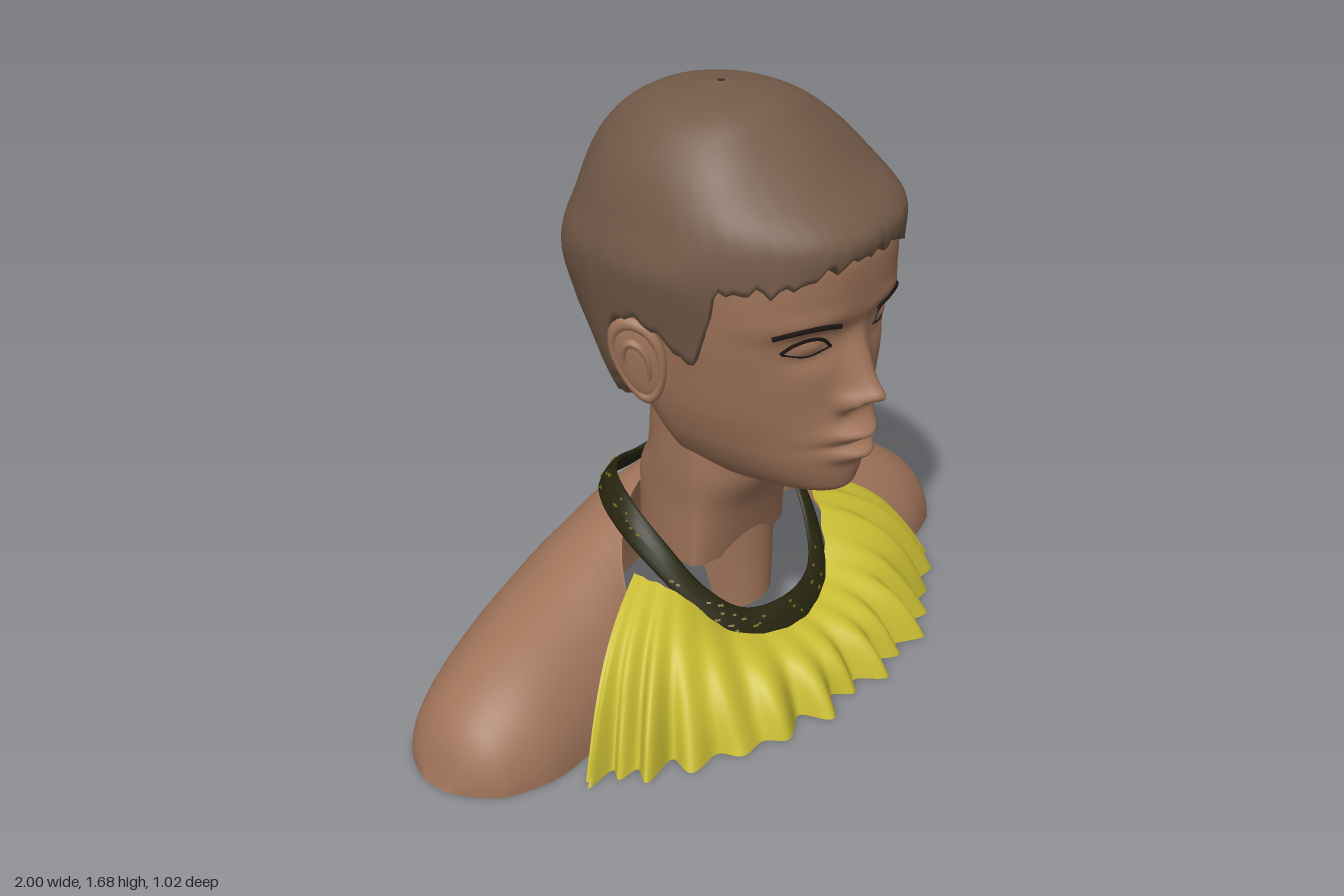
import * as THREE from 'three';

const mat = (name, color, side = THREE.DoubleSide) => {
  const m = new THREE.MeshStandardMaterial({ color, side });
  m.name = name;
  return m;
};
const skin = mat('skin', 0xa0745a);
const hairMat = mat('hair brown', 0x745b49);
const cloth = mat('yellow cloth', 0xc9bc33);
const band = mat('dark band', 0x27250f);
const speck = mat('olive speck', 0x726a1c);
const dark = mat('lash black', 0x1c1512);

const { sin, cos, abs, PI, pow, sign, exp, min, max } = Math;
const V = (x, y, z) => new THREE.Vector3(x, y, z);
const bell = (d, w) => exp(-(d * d) / (w * w));

// Smooth monotone interpolation of table rows [key, ...values]
function sample(table, key) {
  const k = min(max(key, table[0][0]), table[table.length - 1][0]);
  let i = 0;
  while (i < table.length - 2 && k > table[i + 1][0]) i++;
  const slope = (j, c) => (table[j + 1][c] - table[j][c]) / (table[j + 1][0] - table[j][0]);
  const tangent = (j, c) => {
    if (j === 0) return slope(0, c);
    if (j === table.length - 1) return slope(j - 1, c);
    const a = slope(j - 1, c), b = slope(j, c);
    return a * b > 0 ? (2 * a * b) / (a + b) : 0;
  };
  const h = table[i + 1][0] - table[i][0], t = (k - table[i][0]) / h;
  return table[i].slice(1).map((p, n) => {
    const c = n + 1, q = table[i + 1][c];
    return p * (1 + 2 * t) * (1 - t) ** 2 + q * t * t * (3 - 2 * t)
      + h * (tangent(i, c) * t * (1 - t) ** 2 + tangent(i + 1, c) * t * t * (t - 1));
  });
}

// Grid surface from a rule f(u, v); closed joins the u ends
function surface(f, nu, nv, closed) {
  const pos = [], idx = [], cols = closed ? nu : nu + 1;
  for (let j = 0; j <= nv; j++)
    for (let i = 0; i < cols; i++) pos.push(...f(i / nu, j / nv).toArray());
  for (let j = 0; j < nv; j++)
    for (let i = 0; i < nu; i++) {
      const a = j * cols + i, b = j * cols + ((i + 1) % cols);
      idx.push(a, b, b + cols, a, b + cols, a + cols);
    }
  const g = new THREE.BufferGeometry();
  g.setAttribute('position', new THREE.Float32BufferAttribute(pos, 3));
  g.setIndex(idx);
  g.computeVertexNormals();
  return g;
}

const CZ = 0.02; // depth of the widest line of the head
function section([zf, zb, hw, n], a, y) {
  const c = cos(a), s = sin(a);
  const x = hw * sign(s) * pow(abs(s), 2 / n);
  return V(x, y, CZ + (c > 0 ? zf - CZ : CZ - zb) * sign(c) * pow(abs(c), 2 / n));
}

// Rows: y, front z, back z, half width, roundness
const HEAD = [
  [0.63, 0.15, -0.02, 0.05, 2], [0.64, 0.37, -0.06, 0.12, 2], [0.67, 0.405, -0.1, 0.165, 2],
  [0.73, 0.415, -0.12, 0.215, 2], [0.8, 0.408, -0.16, 0.255, 2], [0.9, 0.41, -0.25, 0.29, 2.1],
  [1.0, 0.415, -0.33, 0.31, 2.2], [1.1, 0.415, -0.36, 0.325, 2.4], [1.17, 0.43, -0.37, 0.33, 2.5],
  [1.3, 0.44, -0.37, 0.34, 2.4], [1.45, 0.35, -0.32, 0.28, 2.2], [1.55, 0.2, -0.2, 0.15, 2]];
const NECK = [
  [0.34, 0.06, -0.3, 0.19, 2], [0.5, 0.1, -0.3, 0.19, 2], [0.63, 0.16, -0.25, 0.2, 2],
  [0.77, 0.17, -0.24, 0.2, 2], [1.0, 0.15, -0.24, 0.2, 2]];
const HAIR = [
  [0.76, 0.4, -0.28, 0.22, 2.1], [0.85, 0.4, -0.325, 0.29, 2.1], [0.97, 0.42, -0.375, 0.335, 2.1],
  [1.1, 0.44, -0.415, 0.36, 2.2], [1.22, 0.455, -0.43, 0.39, 2.2], [1.3, 0.465, -0.42, 0.405, 2.1],
  [1.38, 0.485, -0.395, 0.39, 2], [1.5, 0.365, -0.335, 0.335, 2], [1.6, 0.26, -0.25, 0.25, 2],
  [1.66, 0.18, -0.14, 0.15, 2], [1.685, 0.03, 0.01, 0.01, 2]];
// Hair hem: angle from the front in degrees, y
const HEM = [[0, 1.345], [20, 1.33], [35, 1.29], [57, 1.28], [63, 1.2], [70, 1.06], [80, 1.1],
  [87, 1.15], [101, 1.12], [107, 0.98], [122, 0.85], [150, 0.79], [180, 0.76]];
// Shoulders: |x|, back z, top y, ridge z, front z, front sweep in half turns
const SHOULDER = [
  [0, -0.45, 0.5, -0.27, -0.1, 0.52], [0.15, -0.49, 0.48, -0.25, -0.05, 0.54],
  [0.3, -0.51, 0.435, -0.2, 0.02, 0.6], [0.5, -0.475, 0.36, -0.2, 0.06, 0.95],
  [0.75, -0.4, 0.275, -0.17, 0.08, 1], [0.9, -0.33, 0.19, -0.15, 0.04, 1],
  [0.96, -0.27, 0.12, -0.14, -0.02, 1], [1, -0.18, 0, -0.14, -0.1, 1]];

// Nose, lips, sockets and lids raised from the plain face
function relief(x, y) {
  const ax = abs(x);
  const down = min(max((1.13 - y) / 0.18, 0), 1);
  const ridge = y < 0.95 ? bell(y - 0.95, 0.032) : 1;
  return 0.075 * down * ridge * bell(x, 0.03 + 0.02 * down)
    + 0.022 * bell(x, 0.03) * bell(y - 0.945, 0.03)
    + 0.035 * bell(ax - 0.05, 0.022) * bell(y - 0.925, 0.025)
    + 0.025 * bell(x, 0.13) * bell(y - 0.82, 0.07)
    + 0.042 * bell(x, 0.075) * bell(y - 0.835, 0.02)
    + 0.04 * bell(x, 0.07) * bell(y - 0.775, 0.022)
    - 0.012 * bell(x, 0.09) * bell(y - 0.803, 0.009)
    - 0.035 * bell(ax - 0.14, 0.075) * bell(y - 1.1, 0.05)
    + 0.03 * bell(ax - 0.145, 0.05) * bell(y - 1.1, 0.026)
    + 0.01 * bell(ax - 0.15, 0.09) * bell(y - 1.17, 0.03);
}
function faceZ(x, y) {
  const [zf, , hw, n] = sample(HEAD, y);
  return CZ + (zf - CZ) * pow(1 - pow(abs(x) / hw, n), 1 / n) + relief(x, y);
}

export function createModel() {
  const model = new THREE.Group();
  const add = (name, geometry, material, parent = model) => {
    const m = new THREE.Mesh(geometry, material);
    m.name = name;
    parent.add(m);
    return m;
  };

  add('head', surface((u, v) => {
    const y = 0.63 + 0.92 * pow(v, 1.25), a = u * 2 * PI;
    const p = section(sample(HEAD, y), a, y);
    if (cos(a) > 0) p.z += relief(p.x, y) * min(1, cos(a) * 3);
    return p;
  }, 128, 100, true), skin);

  add('neck', surface((u, v) => {
    const y = 0.34 + 0.66 * v;
    return section(sample(NECK, y), u * 2 * PI, y);
  }, 48, 24, true), skin);

  add('throat', surface((u, v) => {
    const s = u * 2 - 1;
    return V(s * (0.115 + 0.05 * v), 0.17 + 0.24 * v, 0.1 - 0.03 * v - 0.05 * s * s);
  }, 10, 6), skin);

  add('shoulders', surface((u, v) => {
    const x = sin((u - 0.5) * PI);
    const [zb, top, zt, zf, sweep] = sample(SHOULDER, abs(x));
    const a = (1 - v) * sweep * PI, c = cos(a);
    return V(x, max(0, top * sin(a)), zt + (c > 0 ? zb - zt : zt - zf) * c);
  }, 72, 28), skin);

  // Cropped hair with a tucked-in ragged hem
  add('hair', surface((u, v) => {
    const a = u * 2 * PI, deg = 180 - abs(u * 360 - 180);
    const hem = sample(HEM, deg)[0] + 0.01 * sin(47 * a) + 0.008 * sin(31 * a + 1);
    const w = max(0, (v * 40 - 1) / 39);
    const y = hem + (1.685 - hem) * sin(w * PI / 2);
    const p = section(sample(HAIR, y), a, y);
    const k = (v === 0 ? 0.84 : 1) * (1 + 0.012 * sin(3 * a + 7 * y) + 0.008 * sin(7 * a - 11 * y));
    const lean = -0.012 - 0.05 * max(0, y - 1.4) / 0.285;
    return V(p.x * k + lean, y, CZ + (p.z - CZ) * k);
  }, 144, 40, true), hairMat);

  // Ears, brows and lash lines, mirrored
  const line = (points, r) => new THREE.TubeGeometry(
    new THREE.CatmullRomCurve3(points.map(([x, y]) => V(x, y, faceZ(x, y) + 0.002))), 20, r, 5);
  for (const side of [1, -1]) {
    const ear = new THREE.Group();
    ear.name = side > 0 ? 'leftEar' : 'rightEar';
    const bowl = new THREE.SphereGeometry(1, 24, 16).scale(0.02, 0.115, 0.066);
    const rim = new THREE.TorusGeometry(1, 0.17, 8, 32).rotateY(PI / 2).scale(0.09, 0.108, 0.062);
    const fold = new THREE.TorusGeometry(1, 0.2, 6, 20, PI * 1.2).rotateY(PI / 2).scale(0.07, 0.06, 0.032);
    for (const g of [bowl, rim, fold]) {
      const p = g.attributes.position;
      for (let i = 0; i < p.count; i++) // narrow toward the lobe
        p.setZ(i, p.getZ(i) * (1 + 2 * min(0.1, p.getY(i))) + p.getY(i) * -0.15);
      g.computeVertexNormals();
    }
    add('earBowl', bowl, skin, ear);
    add('earRim', rim, skin, ear);
    add('earFold', fold, skin, ear).position.x = 0.015;
    ear.rotation.set(0, -0.42 * side, -0.14 * side);
    ear.position.set(0.352 * side, 1.02, 0);
    ear.scale.x = side;
    model.add(ear);

    const face = new THREE.Group();
    face.name = side > 0 ? 'leftBrowAndLashes' : 'rightBrowAndLashes';
    face.scale.x = side;
    add('brow', line([[0.075, 1.148], [0.13, 1.163], [0.19, 1.163], [0.24, 1.145]], 0.007), dark, face);
    add('upperLash', line([[0.085, 1.09], [0.11, 1.115], [0.15, 1.125], [0.19, 1.115], [0.212, 1.095]], 0.005), dark, face);
    add('lowerLash', line([[0.09, 1.088], [0.15, 1.077], [0.208, 1.092]], 0.0025), dark, face);
    model.add(face);
  }

  // Gathered dress front
  const mirrored = pts => new THREE.CatmullRomCurve3(
    [...pts.map(([x, y, z]) => V(-x, y, z)), ...pts.slice(0, -1).reverse().map(p => V(...p))]);
  const neckline = mirrored([[0.35, 0.37, -0.04], [0.3, 0.33, 0.07], [0.2, 0.21, 0.17], [0, 0.17, 0.22]]);
  const hemline = mirrored([[0.73, 0, 0.14], [0.56, 0, 0.27], [0.32, 0, 0.39], [0, 0, 0.42]]);
  add('dress', surface((u, v) => {
    const p = hemline.getPoint(u).lerp(neckline.getPoint(u), v);
    const s = abs(u * 2 - 1), swell = sin(v * PI);
    const out = V(p.x, 0, p.z + 0.1).normalize();
    const fold = 0.026 * sin(u * 92 + 2 * sin(u * 11) + v) + 0.014 * sin(u * 57 + 1 - 2 * v);
    p.addScaledVector(out, fold * (1.1 - v) * (s > 0.97 ? 0.3 : 1) + 0.035 * swell);
    p.y += swell * (0.025 + 0.035 * s);
    return p;
  }, 180, 18), cloth);

  // Neckband lying around the collar
  const half = [[0.15, 0.205, 0.185], [0.235, 0.28, 0.11], [0.285, 0.4, 0], [0.29, 0.475, -0.11],
    [0.235, 0.51, -0.24], [0.12, 0.485, -0.34]];
  const loop = new THREE.CatmullRomCurve3([V(0, 0.19, 0.22), ...half.map(p => V(...p)),
    V(0, 0.455, -0.375), ...half.reverse().map(([x, y, z]) => V(-x, y, z))], true);
  const frame = u => {
    const c = loop.getPoint(u), out = V(c.x, 0, c.z + 0.09).normalize();
    const up = out.clone().multiplyScalar(-0.55).add(V(0, 0.83, 0)).normalize();
    const face = out.clone().multiplyScalar(0.83).add(V(0, 0.55, 0)).normalize();
    return { c, up, face };
  };
  add('neckband', surface((u, v) => {
    const { c, up, face } = frame(u), a = v * 2 * PI;
    return c.addScaledVector(face, 0.012 * cos(a)).addScaledVector(up, 0.045 * sin(a));
  }, 96, 12, true), band);

  // Small woven specks on the band
  const specks = new THREE.Group();
  specks.name = 'neckbandSpecks';
  let seed = 7;
  const rand = () => (seed = (seed * 16807) % 2147483647) / 2147483647;
  for (let i = 0; i < 60; i++) {
    const { c, up, face } = frame(rand()), h = (rand() - 0.5) * 0.06;
    const m = add('speck', new THREE.BoxGeometry(0.006 + 0.012 * rand(), 0.006, 0.004), speck, specks);
    m.position.copy(c).addScaledVector(up, h).addScaledVector(face, 0.012 * Math.sqrt(1 - (h / 0.045) ** 2));
    m.quaternion.setFromRotationMatrix(new THREE.Matrix4().makeBasis(up.clone().cross(face), up, face));
  }
  model.add(specks);
  return model;
}
